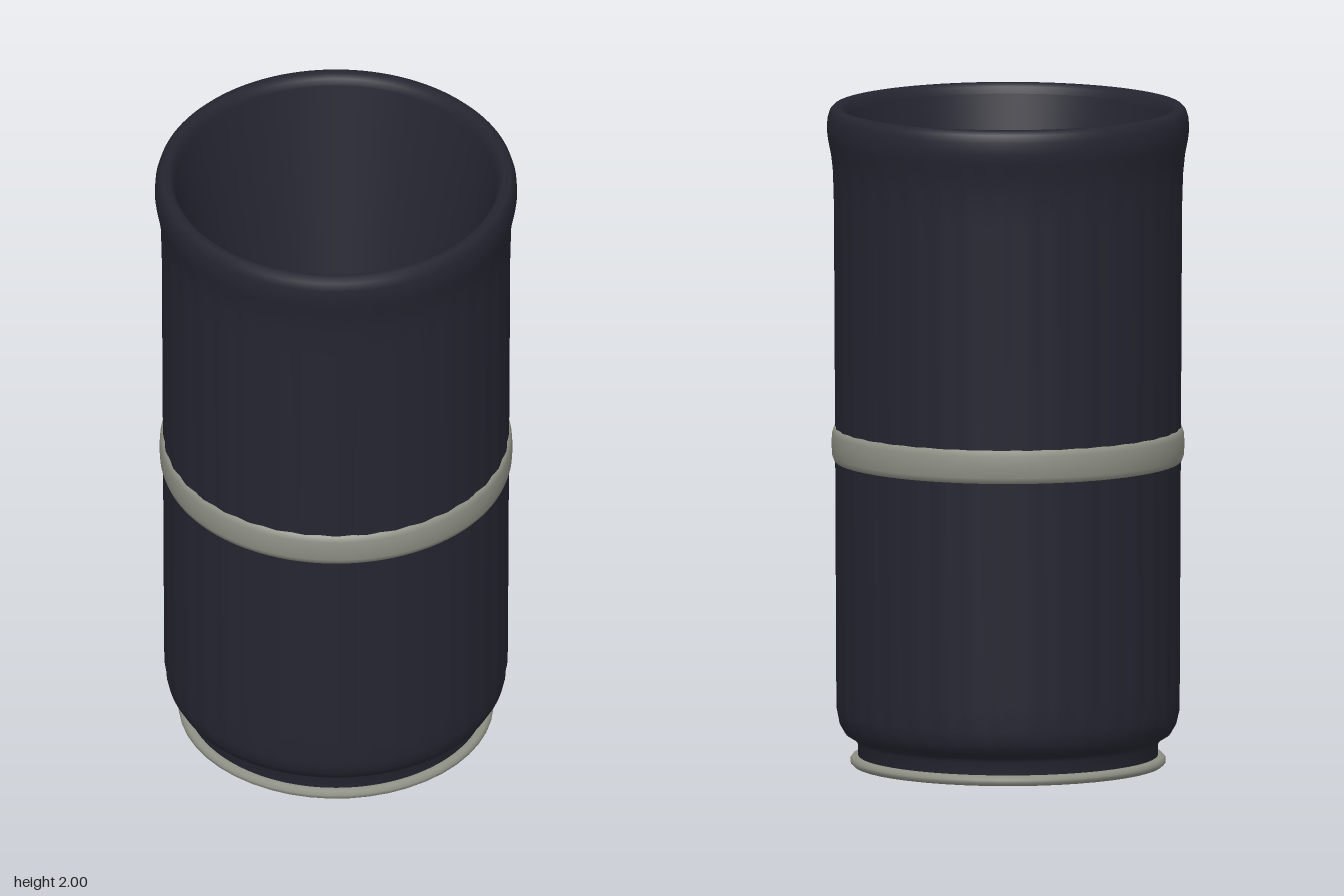
import * as THREE from 'three';
import { mergeVertices } from 'three/addons/utils/BufferGeometryUtils.js';

const SEGMENTS = 144;
const FLUTES = 36;

export function createModel() {
  const group = new THREE.Group();
  const navy = new THREE.MeshStandardMaterial({ color: 0x252531 });
  navy.name = 'dark navy';
  const grey = new THREE.MeshStandardMaterial({ color: 0x8e8f84 });
  grey.name = 'warm grey';

  // Revolve a profile of [radius, height] pairs
  const lathe = (profile, segments = SEGMENTS) =>
    new THREE.LatheGeometry(profile.map(([r, y]) => new THREE.Vector2(r, y)), segments);

  const add = (name, geometry, material) => {
    const mesh = new THREE.Mesh(geometry, material);
    mesh.name = name;
    group.add(mesh);
  };

  // Outer wall: narrow foot, rounded shoulder, straight sides, flared lip
  let wall = lathe([
    [0.45, 0.01], [0.452, 0.07], [0.465, 0.085], [0.49, 0.1], [0.507, 0.13], [0.514, 0.17],
    [0.515, 0.25], [0.518, 0.9], [0.522, 1.7], [0.525, 1.8], [0.533, 1.86], [0.541, 1.9],
    [0.545, 1.93], [0.543, 1.965], [0.536, 1.988], [0.525, 2], [0.505, 2], [0.492, 1.99], [0.485, 1.97],
  ]);
  // Shallow vertical flutes, fading out at both ends
  const pos = wall.attributes.position;
  for (let i = 0; i < pos.count; i++) {
    const x = pos.getX(i), y = pos.getY(i), z = pos.getZ(i);
    if (y < 0.15 || y > 1.82) continue;
    const s = 1 + 0.004 * Math.cos(FLUTES * Math.atan2(x, z));
    pos.setXYZ(i, x * s, y, z * s);
  }
  wall.deleteAttribute('uv');
  wall.deleteAttribute('normal');
  wall = mergeVertices(wall, 1e-5);
  wall.computeVertexNormals();
  add('outerWall', wall, navy);

  // Inside, tapering down to a point
  add('innerWall', lathe([[0.485, 1.97], [0, 0.1]]), navy);

  // Underside
  add('underside', lathe([[0, 0.01], [0.455, 0.01]]), navy);

  // Rounded band around the middle
  add('middleBand', lathe([
    [0.51, 0.925], [0.523, 0.928], [0.529, 0.945], [0.531, 0.978],
    [0.529, 1.01], [0.523, 1.027], [0.51, 1.03],
  ]), grey);

  // Thin foot ring
  add('footRing', lathe([
    [0.445, 0.012], [0.453, 0], [0.465, 0.002], [0.474, 0.01],
    [0.475, 0.02], [0.468, 0.03], [0.445, 0.033],
  ], 48), grey);

  return group;
}
